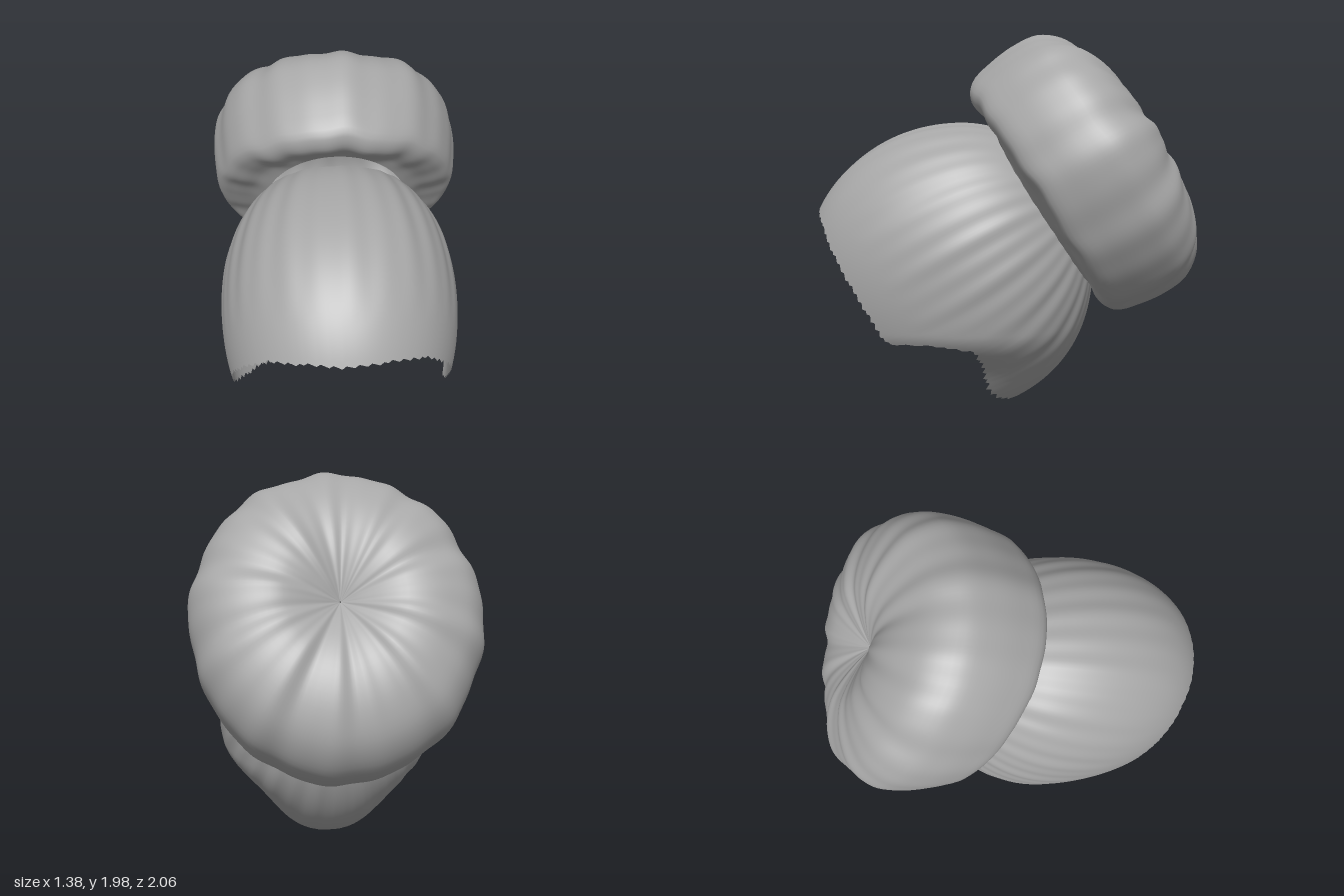
import * as THREE from 'three';

const hair = new THREE.MeshStandardMaterial({ color: 0xa6a6a6, side: THREE.DoubleSide });
hair.name = 'grey hair';

// Tilted frame: the bun sits along AXIS, UP lies in the bun's own plane
const AXIS = new THREE.Vector3(0, 0.52, -0.853).normalize();
const UP = new THREE.Vector3(0, 0.853, 0.52).normalize();
const { degToRad, radToDeg, lerp, smoothstep } = THREE.MathUtils;

// Surface closed around phi; point(phi, t, column) returns a Vector3
function ringSurface(cols, rows, point) {
  const pos = [], index = [];
  for (let j = 0; j <= rows; j++) {
    for (let i = 0; i < cols; i++) pos.push(...point((i / cols) * Math.PI * 2, j / rows, i).toArray());
  }
  for (let j = 0; j < rows; j++) {
    for (let i = 0; i < cols; i++) {
      const k = (i + 1) % cols;
      const a = j * cols + i, b = j * cols + k, c = a + cols, d = b + cols;
      index.push(a, c, b, b, c, d);
    }
  }
  const g = new THREE.BufferGeometry();
  g.setAttribute('position', new THREE.Float32BufferAttribute(pos, 3));
  g.setIndex(index);
  g.computeVertexNormals();
  return g;
}

// Hairline: [angle around the axis, angle away from the bun]; the left side has a notch
const RIM_LEFT = [[0, 126], [30, 123], [62, 125], [85, 126], [100, 126], [110, 107],
  [122, 94], [139, 99], [152, 104], [165, 102], [180, 96]];
const RIM_RIGHT = [[0, 126], [30, 123], [62, 125], [93, 126], [114, 120], [130, 112],
  [147, 105], [158, 104], [170, 98], [180, 96]];
function rimAngle(phi) {
  const deg = radToDeg(phi);
  const table = deg <= 180 ? RIM_LEFT : RIM_RIGHT;
  const d = deg <= 180 ? deg : 360 - deg;
  let i = 0;
  while (i < table.length - 2 && d > table[i + 1][0]) i++;
  const [a, b] = [table[i], table[i + 1]];
  return lerp(a[1], b[1], (d - a[0]) / (b[0] - a[0]));
}

// Combed-back hair: a band of an uneven ellipsoid between bun opening and hairline
function scalpPoint(phi, t, column) {
  const jag = ((column * 37) % 11) / 11 - 0.5;
  const start = 39 + 4 * Math.cos(phi) + 3 * Math.cos(2 * phi);
  const end = rimAngle(phi) + jag * (2.2 - Math.cos(phi));
  const theta = degToRad(lerp(start, end, t));
  const dir = new THREE.Vector3(Math.sin(phi) * Math.sin(theta), 0, 0)
    .addScaledVector(UP, Math.cos(phi) * Math.sin(theta))
    .addScaledVector(AXIS, Math.cos(theta));
  // The nape is narrower than the crown
  const rx = 0.625 - 0.15 * smoothstep(-dir.y, 0.35, 0.9);
  const ry = dir.y > 0 ? 0.79 : 0.81;
  const rz = dir.z > 0 ? 0.88 : 0.71;
  const e = 2.15;
  const sum = Math.abs(dir.x / rx) ** e + Math.hypot(dir.y / ry, dir.z / rz) ** e;
  const strands = 0.004 * Math.sin(phi * 34) + 0.003 * Math.sin(phi * 19 + 1);
  const r = sum ** (-1 / e) * (1 + strands * Math.sin(Math.PI * Math.min(1, t + 0.15)));
  return dir.multiplyScalar(r).add(new THREE.Vector3(0, 0.75, 0.2));
}

// Bun cross-section: x is distance from the axis, y is height along it
const bunProfile = new THREE.CatmullRomCurve3([
  [0.53, 0.78], [0.57, 0.765], [0.65, 0.745], [0.72, 0.785], [0.755, 0.92], [0.765, 1.07], [0.745, 1.2],
  [0.66, 1.32], [0.53, 1.39], [0.38, 1.425], [0.24, 1.42], [0.11, 1.385], [0.004, 1.34],
].map(([r, n]) => new THREE.Vector3(r, n, 0)));

// Gathered bun: the profile swept round, with soft folds meeting in the dimple
function bunPoint(phi, t) {
  const p = bunProfile.getPoint(t);
  const open = Math.min(1, t * 6);
  const folds = 0.006 * Math.sin(phi * 13 + 0.6) + 0.005 * Math.sin(phi * 8 + 2) + 0.003 * Math.sin(phi * 23);
  const fade = Math.min(1, p.x / 0.3) * open;
  const r = p.x * (1 + folds * fade);
  const crease = 0.03 * Math.exp(-((Math.sin(phi / 2) / 0.12) ** 2)) * Math.max(0, Math.sin(Math.PI * (t - 0.5) * 2));
  // The lip arches away from the head at the sides and a little at the bottom
  const arch = Math.sin(phi) ** 2 * lerp(0.11, 0.02, t) + Math.max(0, -Math.cos(phi)) * 0.05 * (1 - t);
  const n = p.y + folds * fade * 0.9 - crease + arch * open * Math.min(1, p.x / 0.3);
  // The opening is narrower than the bun, to meet the gathered hair
  const width = lerp(0.74, 0.895, open);
  return new THREE.Vector3(Math.sin(phi) * r * width, 0, 0)
    .addScaledVector(UP, 0.85 + Math.cos(phi) * r)
    .addScaledVector(AXIS, n);
}

export function createModel() {
  const group = new THREE.Group();
  group.name = 'hairWithBun';
  const add = (name, geometry) => {
    const mesh = new THREE.Mesh(geometry, hair);
    mesh.name = name;
    group.add(mesh);
  };
  add('combedHair', ringSurface(240, 40, scalpPoint));
  add('bun', ringSurface(180, 52, bunPoint));
  return group;
}
